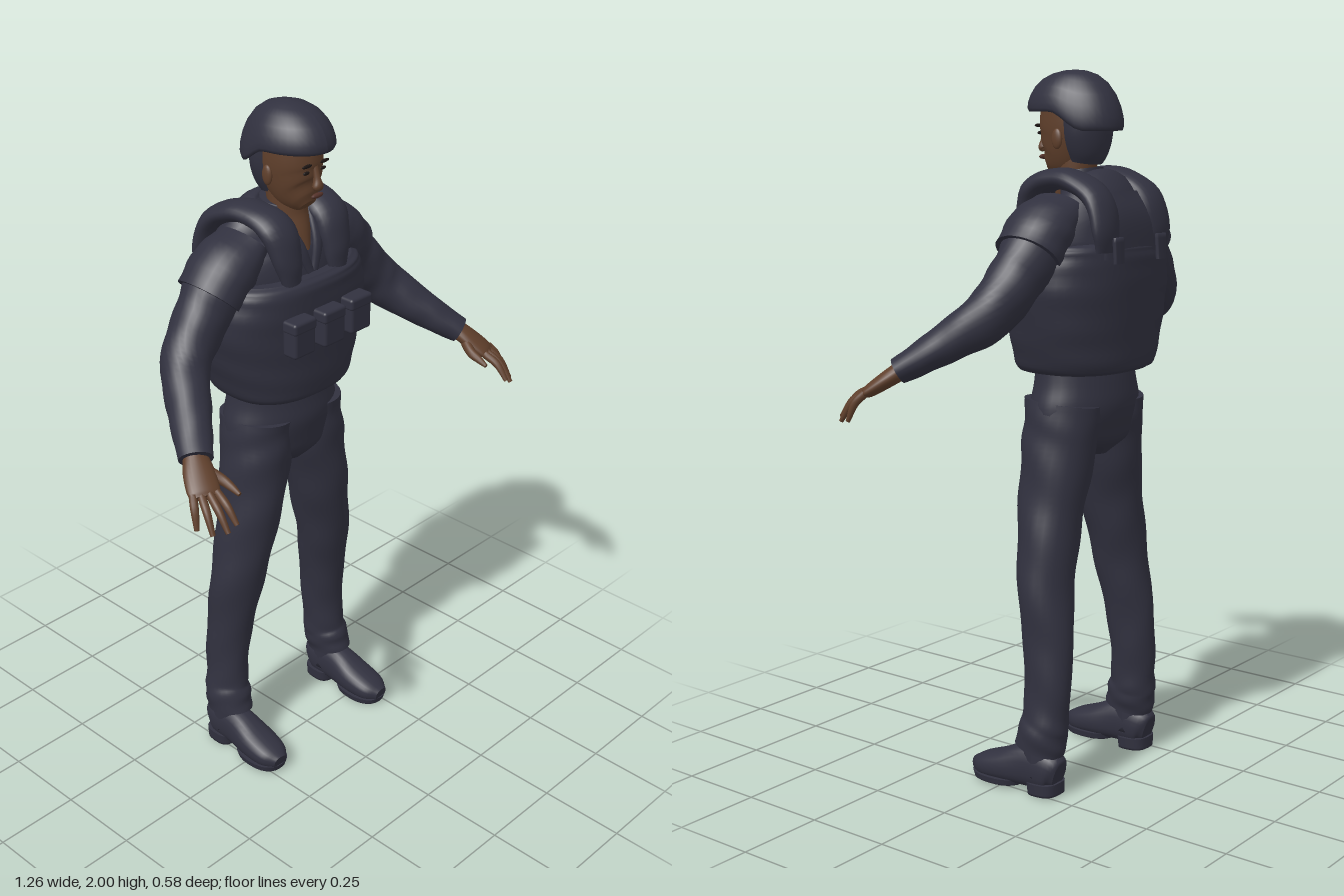
import * as THREE from 'three';
import { RoundedBoxGeometry } from 'three/addons/geometries/RoundedBoxGeometry.js';

const X = new THREE.Vector3(1, 0, 0), Y = new THREE.Vector3(0, 1, 0), Z = new THREE.Vector3(0, 0, 1);

// Smooth body through rows of [x, y, z, radiusA, radiusB]; ref fixes how the sections are turned.
// box < 1 squares the section, fold adds soft cloth wrinkles.
function sweep(rows, ref, { n = 24, per = 5, box = 1, fold = 0 } = {}) {
  const path = new THREE.CatmullRomCurve3(rows.map(r => new THREE.Vector3(r[0], r[1], r[2])), false, 'catmullrom', 0.5);
  const size = new THREE.CatmullRomCurve3(rows.map(r => new THREE.Vector3(r[3], r[4], 0)), false, 'catmullrom', 0.5);
  const steps = (rows.length - 1) * per, pos = [], idx = [];
  const bend = v => Math.sign(v) * Math.pow(Math.abs(v), box);
  for (let i = 0; i <= steps; i++) {
    const u = i / steps, c = path.getPoint(u), s = size.getPoint(u), t = path.getTangent(u);
    const a = ref.clone().cross(t).normalize(), b = t.clone().cross(a);
    for (let j = 0; j < n; j++) {
      const p = j / n * Math.PI * 2;
      const k = 1 + fold * (Math.sin(3 * p + 17 * u) * Math.sin(31 * u) + 0.6 * Math.sin(44 * u + 2 * Math.sin(p)));
      const v = c.clone().addScaledVector(a, bend(Math.cos(p)) * s.x * k).addScaledVector(b, bend(Math.sin(p)) * s.y * k);
      pos.push(v.x, v.y, v.z);
    }
  }
  for (let i = 0; i < steps; i++) for (let j = 0; j < n; j++) {
    const k = (j + 1) % n, a = i * n + j, b = i * n + k;
    idx.push(a, b, b + n, a, b + n, a + n);
  }
  // end caps with their own corners, so the rims stay crisp
  for (const end of [0, steps]) {
    const base = pos.length / 3, c = path.getPoint(end / steps);
    pos.push(...pos.slice(end * n * 3, (end + 1) * n * 3), c.x, c.y, c.z);
    for (let j = 0; j < n; j++) {
      const k = (j + 1) % n;
      idx.push(base + n, base + (end ? j : k), base + (end ? k : j));
    }
  }
  const g = new THREE.BufferGeometry();
  g.setAttribute('position', new THREE.Float32BufferAttribute(pos, 3));
  g.setIndex(idx);
  g.computeVertexNormals();
  return g;
}

function mirrored(geo) {
  const g = geo.clone().scale(-1, 1, 1), id = g.index.array;
  for (let i = 0; i < id.length; i += 3) [id[i], id[i + 1]] = [id[i + 1], id[i]];
  return g;
}

const ball = (x, y, z, a, b, c) => new THREE.SphereGeometry(1, 16, 12).scale(a, b, c).translate(x, y, z);

export function createModel() {
  const model = new THREE.Group();
  const material = (name, color) => Object.assign(new THREE.MeshStandardMaterial({ color }), { name });
  const navy = material('navy cloth', 0x31313f);
  const skin = material('skin', 0x5f3f2b);
  const dark = material('brow', 0x1d1614);
  const lipColor = material('lip', 0x54322a);

  const add = (name, geo, mat) => {
    const m = new THREE.Mesh(geo, mat);
    m.name = name;
    model.add(m);
  };
  const pair = (name, geo, mat) => {
    add(name + 'Left', geo, mat);
    add(name + 'Right', mirrored(geo), mat);
  };

  // Head and neck
  add('head', sweep([[0, 1.727, 0, .026, .026], [0, 1.742, -.014, .045, .05], [0, 1.77, -.038, .063, .078],
    [0, 1.81, -.055, .074, .092], [0, 1.85, -.063, .079, .099], [0, 1.91, -.07, .078, .1]], Z), skin);
  add('neck', sweep([[0, 1.56, -.018, .01, .03], [0, 1.64, -.045, .04, .045], [0, 1.70, -.07, .052, .055],
    [0, 1.79, -.08, .053, .06]], Z), skin);
  add('nose', sweep([[0, 1.843, .03, .008, .006], [0, 1.81, .036, .01, .011], [0, 1.79, .039, .017, .014],
    [0, 1.781, .035, .012, .008]], Z, { n: 12 }), skin);
  add('lips', ball(0, 1.764, .037, .022, .007, .007), lipColor);
  add('hair', sweep([[0, 1.752, -.105, .05, .045], [0, 1.785, -.11, .068, .058], [0, 1.83, -.112, .081, .064],
    [0, 1.89, -.11, .083, .068]], Z), navy);
  pair('ear', ball(.08, 1.815, -.068, .009, .028, .017), skin);
  pair('eye', ball(.031, 1.83, .027, .012, .005, .004), dark);
  pair('brow', ball(.032, 1.85, .031, .019, .005, .004), dark);

  // Helmet: a dome whose rim dips toward the back
  const dome = [[.72, .02], [.97, -.02], [1, .06], [.99, .2], [.94, .38], [.84, .58], [.67, .78], [.46, .91], [.22, .98], [0, 1]];
  const helmet = new THREE.LatheGeometry(dome.map(p => new THREE.Vector2(...p)), 40);
  const hp = helmet.attributes.position;
  for (let i = 0; i < hp.count; i++) {
    const y = hp.getY(i), drop = THREE.MathUtils.smoothstep(-hp.getZ(i), -.1, .6);
    hp.setXYZ(i, hp.getX(i) * .106, 1.89 + y * .11 - (1 - y) * .05 * drop, hp.getZ(i) * .145 - .071);
  }
  helmet.computeVertexNormals();
  add('helmet', helmet, navy);

  // Jacket shoulders, collar and arms
  add('jacketYoke', sweep([[0, 1.46, -.12, .22, .15], [0, 1.55, -.127, .235, .145], [0, 1.61, -.135, .2, .127],
    [0, 1.66, -.13, .14, .1], [0, 1.70, -.1, .078, .062], [0, 1.73, -.095, .064, .056]], Z, { n: 32 }), navy);
  pair('lapel', sweep([[.008, 1.545, .02, .012, .008], [.035, 1.62, .005, .018, .009], [.058, 1.70, -.045, .016, .01]],
    Z, { n: 12 }), navy);
  pair('sleeve', sweep([[.12, 1.62, -.11, .07, .055], [.21, 1.56, -.11, .09, .083], [.295, 1.465, -.105, .076, .078],
    [.385, 1.365, -.075, .067, .07], [.46, 1.285, .02, .058, .052], [.53, 1.217, .115, .046, .036]],
  Y, { n: 28, per: 8, fold: .025 }), navy);
  pair('shoulderFlap', sweep([[.13, 1.635, -.11, .085, .05], [.2, 1.58, -.11, .1, .083], [.262, 1.512, -.11, .096, .086]],
    Y, { n: 28, fold: .02 }), navy);

  // Armour vest: body, padded collar straps, hem and front pouches
  add('vestBody', sweep([[0, 1.185, -.108, .185, .15], [0, 1.205, -.108, .205, .168], [0, 1.3, -.109, .238, .174],
    [0, 1.42, -.11, .265, .178], [0, 1.5, -.11, .252, .178], [0, 1.53, -.11, .24, .172], [0, 1.542, -.11, .22, .155]],
  Z, { n: 48, per: 6, box: .8, fold: .006 }), navy);
  pair('collarPad', sweep([[.12, 1.52, -.262, .016, .04], [.12, 1.58, -.262, .024, .055], [.115, 1.66, -.232, .03, .055],
    [.11, 1.705, -.15, .03, .055], [.103, 1.706, -.07, .03, .056], [.098, 1.675, -.01, .034, .058],
    [.093, 1.6, .018, .03, .046], [.088, 1.535, .03, .018, .03]], X, { fold: .02 }), navy);
  add('backPanel', sweep([[0, 1.5, -.265, .14, .02], [0, 1.6, -.252, .13, .022], [0, 1.665, -.215, .1, .025]],
    Z, { box: .8 }), navy);
  pair('backStrap', sweep([[.1, 1.56, -.288, .006, .022], [.1, 1.49, -.291, .006, .02]], X, { n: 12, box: .4 }), navy);
  for (const [x, z] of [[-.113, .08], [-.003, .085], [.108, .08]]) {
    add('pouch', new RoundedBoxGeometry(.081, .105, .05, 3, .01).translate(x, 1.408, z), navy);
    add('pouchFlap', new RoundedBoxGeometry(.085, .035, .052, 3, .009).translate(x, 1.443, z + .001), navy);
  }

  // Hands
  pair('palm', sweep([[.522, 1.225, .1, .031, .026], [.545, 1.195, .14, .042, .023], [.567, 1.165, .18, .044, .018],
    [.575, 1.155, .195, .037, .011]], Y), skin);
  const tips = [[.55, 1.1, .283], [.577, 1.085, .279], [.606, 1.079, .253], [.623, 1.085, .212]];
  tips.forEach((tip, i) => {
    const s = (i - 1.5) * .021, k = [.57 + .857 * s, 1.162, .188 - .51 * s];
    const mid = k.map((v, j) => v * .5 + tip[j] * .5 + (j === 1 ? .01 : .003));
    pair('finger', sweep([[...k, .011, .012], [...mid, .011, .011], [...tip, .007, .006]], Y, { n: 12 }), skin);
  });
  pair('thumb', sweep([[.532, 1.2, .13, .016, .018], [.506, 1.175, .18, .014, .015], [.502, 1.163, .215, .011, .011],
    [.501, 1.152, .243, .006, .006]], Y, { n: 12 }), skin);

  // Trousers
  add('trouserSeat', sweep([[0, .945, -.105, .05, .07], [0, .985, -.105, .16, .105], [0, 1.03, -.106, .192, .116],
    [0, 1.09, -.108, .193, .126], [0, 1.15, -.108, .178, .12], [0, 1.22, -.105, .17, .11]], Z, { n: 36 }), navy);
  pair('trouserLeg', sweep([[.1, 1.1, -.107, .088, .118], [.108, .98, -.1, .099, .108], [.142, .8, -.095, .088, .095],
    [.182, .6, -.107, .081, .08], [.201, .4, -.131, .062, .073], [.212, .24, -.132, .058, .068], [.218, .18, -.125, .064, .074],
    [.222, .125, -.114, .058, .076]], Z, { n: 28, per: 9, fold: .025 }), navy);

  // Shoes
  pair('shoeShaft', sweep([[.222, .05, -.12, .046, .06], [.222, .16, -.12, .044, .056]], Z), navy);
  pair('shoe', sweep([[.222, .06, -.184, .028, .038], [.222, .069, -.155, .045, .06], [.223, .07, -.08, .047, .063],
    [.224, .053, 0, .056, .047], [.226, .04, .07, .05, .034], [.228, .034, .108, .024, .02]], Y, { box: .85 }), navy);
  pair('shoeSole', sweep([[.225, .006, .025, .056, .08], [.225, .024, .025, .06, .085]], Z, { box: .85 }), navy);
  pair('shoeHeel', sweep([[.222, 0, -.138, .047, .047], [.222, .035, -.136, .05, .049]], Z, { box: .7 }), navy);

  return model;
}
